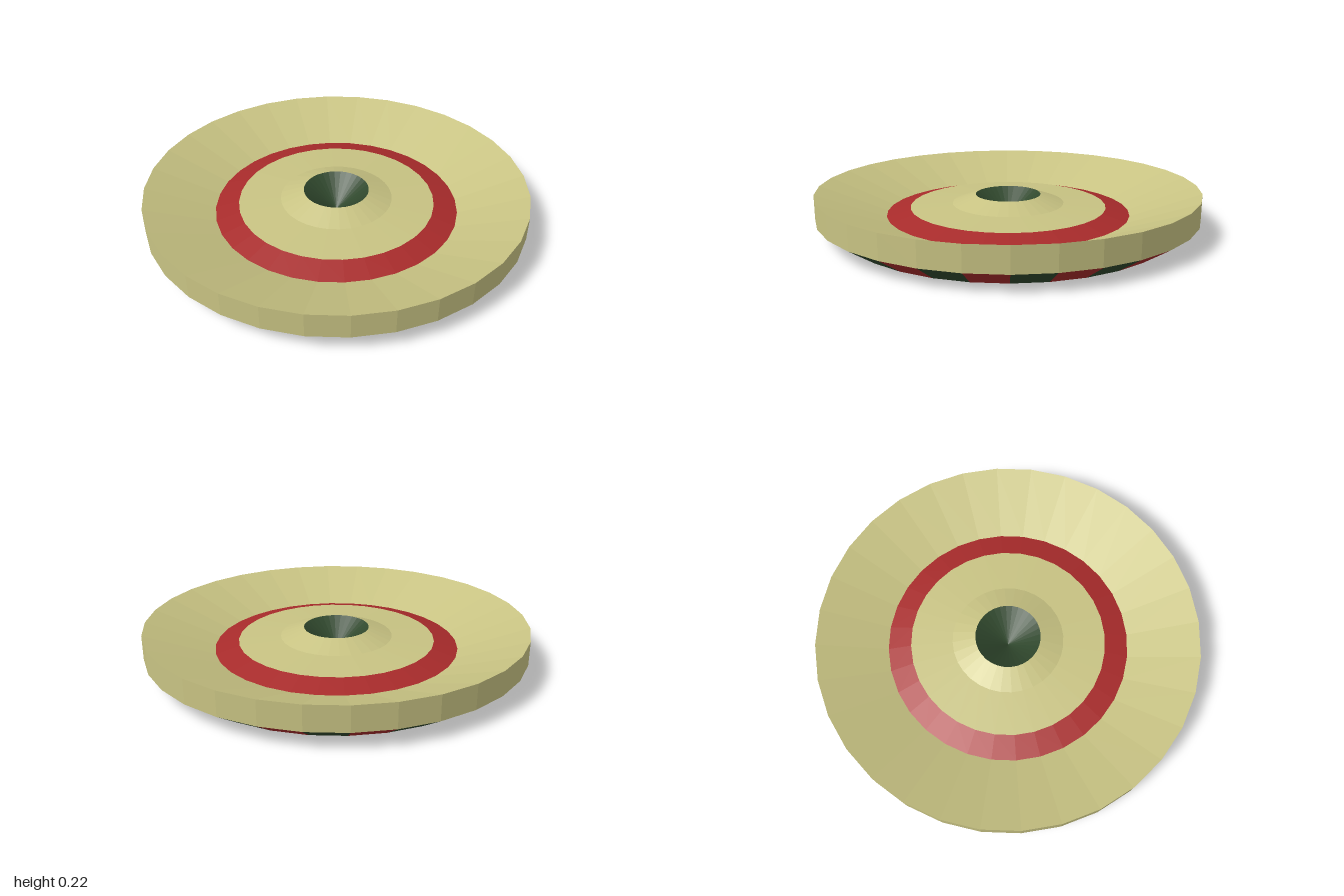
import * as THREE from 'three';

const SIDES = 32;
const TAN = 0xc8c383, RED = 0xa82b2b, GREEN = 0x30482d;

const paint = (color) => new THREE.MeshStandardMaterial({ color, flatShading: true });

// Faceted ring turned from [radius, height] points; runs bottom, outside, then top inwards
function turned(name, points, material, start = 0, sides = SIDES) {
  const profile = points.map(([r, y]) => new THREE.Vector2(r, y));
  const angle = (Math.PI * 2) / SIDES;
  const mesh = new THREE.Mesh(
    new THREE.LatheGeometry(profile, sides, start * angle, sides * angle), material);
  mesh.name = name;
  return mesh;
}

export function createModel() {
  const model = new THREE.Group();
  model.name = 'dish';
  const tan = paint(TAN), red = paint(RED), green = paint(GREEN);

  // Flat underside
  model.add(turned('base', [[0, 0], [0.865, 0]], tan));

  // Sloping skirt, one stripe per side
  const skirt = new THREE.Group();
  skirt.name = 'stripedSkirt';
  for (let i = 0; i < SIDES; i++) {
    skirt.add(turned('stripe', [[0.865, 0], [1, 0.09]], i % 2 ? green : red, i, 1));
  }
  model.add(skirt);

  // Upright rim and the slope down into the dish
  model.add(turned('rim', [[1, 0.09], [1, 0.215], [0.641, 0.08]], tan));

  // Red band rising towards the middle
  model.add(turned('redBand', [[0.641, 0.08], [0.517, 0.113]], red));

  // Gentle inner floor and raised collar
  model.add(turned('centre', [[0.517, 0.113], [0.295, 0.126], [0.172, 0.172]], tan));

  // Conical hollow
  model.add(turned('hollow', [[0.172, 0.172], [0, 0.04]], green));

  return model;
}
